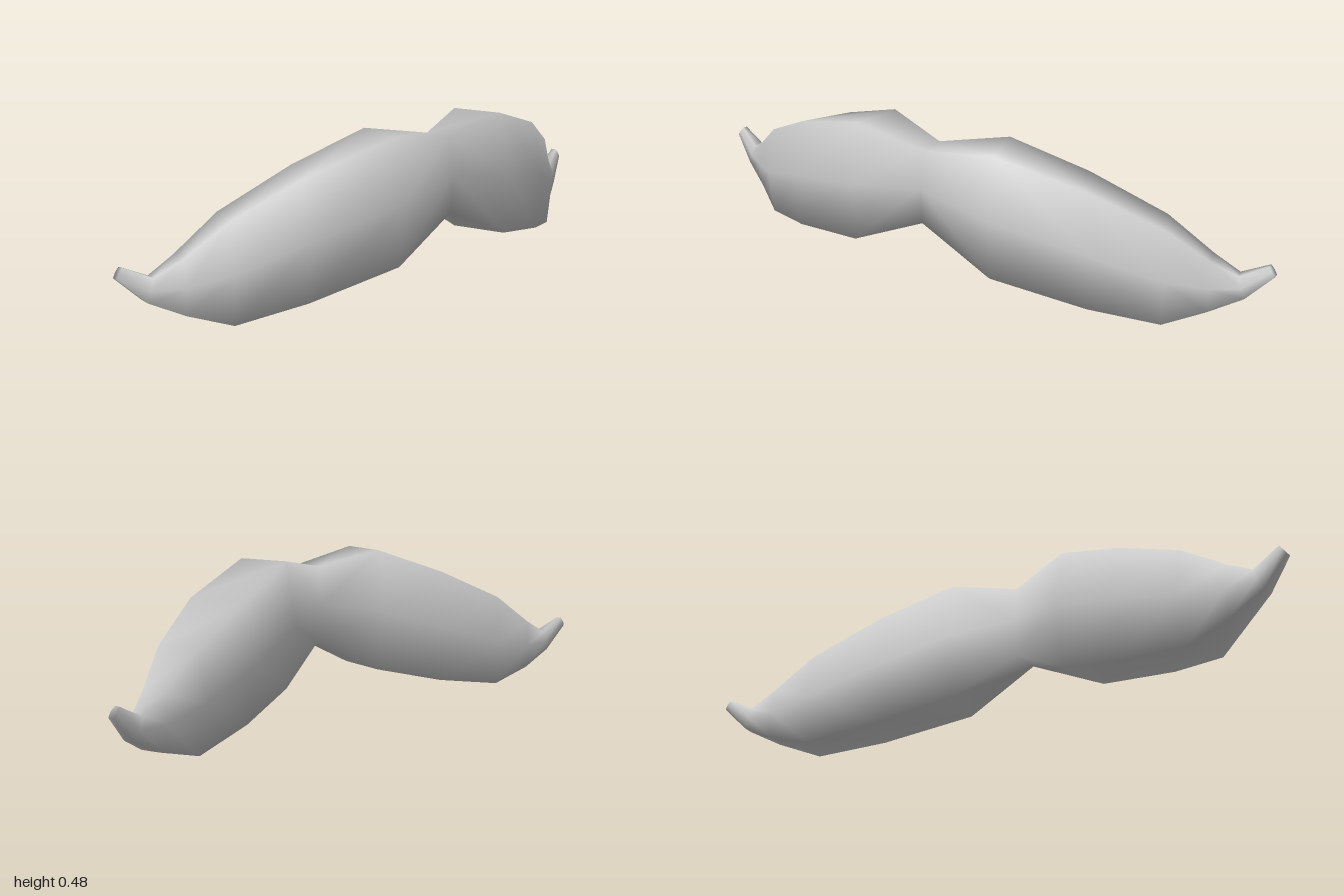
import * as THREE from 'three';

// Cross-sections from the middle to the tip:
// front x, front z, back x, back z, top y, bottom y, lean (x shift of the top/bottom)
const SECTIONS = [
  [0, 0.165, 0, 0.04, 0.445, 0.21, 0],
  [0.25, 0.187, 0.2, -0.04, 0.483, 0.097, 0],
  [0.54, 0.1, 0.42, -0.11, 0.4, 0.038, 0],
  [0.73, 0.0, 0.66, -0.16, 0.297, 0, 0],
  [0.835, -0.08, 0.81, -0.172, 0.2, 0.04, 0],
  [0.915, -0.13, 0.905, -0.178, 0.155, 0.09, 0.012],
  [0.99, -0.165, 0.988, -0.19, 0.196, 0.168, 0.01],
];

// Six-sided ring: depth fraction (0 front, 1 back) and height (-1 bottom, 1 top)
const RING = [[0.17, 1], [0, 0], [0.09, -1], [0.85, -1], [1, 0], [0.86, 1]];

function createMoustacheGeometry() {
  const n = RING.length;
  const last = SECTIONS.length - 1;
  const positions = [];
  const indices = [];

  // Rings from the right tip (-x) through the middle to the left tip (+x)
  for (let s = -last; s <= last; s++) {
    const [fx, fz, bx, bz, top, bottom, lean] = SECTIONS[Math.abs(s)];
    for (const [d, h] of RING) {
      const x = THREE.MathUtils.lerp(fx, bx, d) - lean * h;
      const y = (top + bottom) / 2 + (h * (top - bottom)) / 2;
      positions.push(s < 0 ? -x : x, y, THREE.MathUtils.lerp(fz, bz, d));
    }
  }

  // Skin between neighbouring rings, split symmetrically on both halves
  for (let s = 0; s < 2 * last; s++) {
    for (let k = 0; k < n; k++) {
      const a = s * n + k;
      const b = s * n + ((k + 1) % n);
      const c = a + n;
      const d = b + n;
      if (s < last) indices.push(a, b, c, b, d, c);
      else indices.push(a, b, d, a, d, c);
    }
  }

  // Caps closing both tips
  const end = 2 * last * n;
  for (let k = 1; k < n - 1; k++) {
    indices.push(0, k + 1, k, end, end + k, end + k + 1);
  }

  const geometry = new THREE.BufferGeometry();
  geometry.setAttribute('position', new THREE.Float32BufferAttribute(positions, 3));
  geometry.setIndex(indices);
  geometry.computeVertexNormals();
  return geometry;
}

export function createModel() {
  const group = new THREE.Group();
  group.name = 'moustacheModel';
  const material = new THREE.MeshStandardMaterial({ color: 0xcccccc });
  const moustache = new THREE.Mesh(createMoustacheGeometry(), material);
  moustache.name = 'moustache';
  group.add(moustache);
  return group;
}
